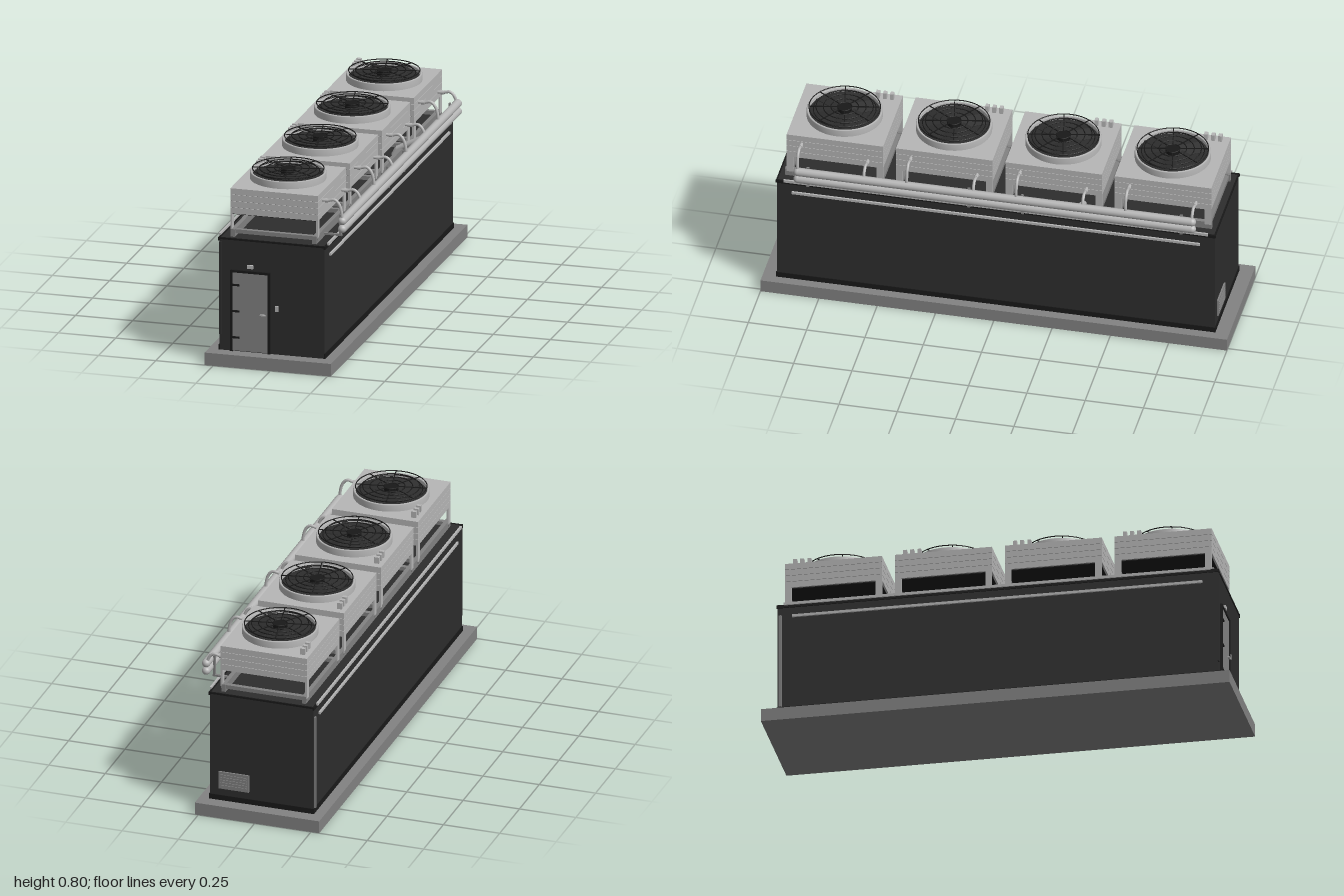
import * as THREE from 'three';

const mat = (name, color, side = THREE.FrontSide) => {
  const m = new THREE.MeshStandardMaterial({ color, side });
  m.name = name;
  return m;
};

export function createModel() {
  const root = new THREE.Group();
  root.name = 'coolingPlant';
  const light = mat('lightMetal', 0xb6b6b6, THREE.DoubleSide);
  const grey = mat('midGrey', 0x828282);
  const dark = mat('darkCladding', 0x2d2d2d);
  const black = mat('blackGrille', 0x191919);

  const add = (parent, name, geo, material, x = 0, y = 0, z = 0) => {
    const m = new THREE.Mesh(geo, material);
    m.name = name;
    m.position.set(x, y, z);
    parent.add(m);
    return m;
  };
  // Box given by its min and max on each axis
  const box = (parent, name, material, x0, x1, y0, y1, z0, z1) =>
    add(parent, name, new THREE.BoxGeometry(x1 - x0, y1 - y0, z1 - z0), material,
      (x0 + x1) / 2, (y0 + y1) / 2, (z0 + z1) / 2);
  const rod = (parent, name, material, points, r, smooth = true) => {
    const v = points.map(p => new THREE.Vector3(...p));
    const path = smooth ? new THREE.CatmullRomCurve3(v, false, 'centripetal') : new THREE.LineCurve3(v[0], v[1]);
    return add(parent, name, new THREE.TubeGeometry(path, smooth ? 20 : 1, r, 12), material);
  };

  // Plinth and cabin
  box(root, 'plinth', grey, -0.287, 0.265, 0, 0.055, -1, 1);
  box(root, 'cabin', dark, -0.24, 0.22, 0.055, 0.547, -0.938, 0.94);
  for (const x of [-0.24, 0.22]) {
    box(root, 'baseTrim', black, x - 0.003, x + 0.003, 0.055, 0.078, -0.941, 0.943);
    box(root, 'roofTrim', black, x - 0.004, x + 0.004, 0.535, 0.549, -0.942, 0.944);
  }
  box(root, 'backBaseTrim', black, -0.24, 0.22, 0.055, 0.078, -0.941, -0.935);
  for (const z of [-0.938, 0.94]) {
    box(root, 'roofEndTrim', black, -0.24, 0.22, 0.541, 0.549, z - 0.003, z + 0.003);
  }

  // Cable rails along both long sides
  for (const [x, s] of [[-0.24, -1], [0.22, 1]]) {
    const a = Math.min(x, x + s * 0.008), b = Math.max(x, x + s * 0.008);
    box(root, 'sideRail', light, a, b, 0.489, 0.5, -0.875, 0.875);
    box(root, 'topRail', light, a + s * 0.002, b + s * 0.002, 0.545, 0.557, -0.91, 0.91);
  }
  box(root, 'downpipe', grey, -0.248, -0.24, 0.08, 0.5, -0.932, -0.92);
  box(root, 'cornerDuct', dark, -0.24, -0.228, 0.125, 0.53, 0.94, 0.946);

  // Door on the front wall
  const door = new THREE.Group();
  door.name = 'door';
  root.add(door);
  box(door, 'frameLeft', black, -0.19, -0.18, 0.055, 0.412, 0.94, 0.95);
  box(door, 'frameRight', black, -0.026, -0.016, 0.055, 0.412, 0.94, 0.95);
  box(door, 'frameTop', black, -0.18, -0.026, 0.402, 0.412, 0.94, 0.95);
  box(door, 'leaf', grey, -0.18, -0.026, 0.059, 0.402, 0.938, 0.946);
  for (const y of [0.117, 0.232, 0.347]) {
    box(door, 'hinge', black, -0.182, -0.15, y - 0.004, y + 0.004, 0.945, 0.951);
  }
  box(door, 'handle', light, -0.06, -0.036, 0.222, 0.227, 0.945, 0.955);
  box(root, 'doorLamp', light, -0.117, -0.091, 0.423, 0.438, 0.94, 0.95);
  box(root, 'switchBox', light, 0.005, 0.019, 0.245, 0.268, 0.94, 0.948);

  // Louvred vent on the back wall
  box(root, 'ventPlate', grey, 0.045, 0.18, 0.11, 0.188, -0.945, -0.937);
  for (let i = 0; i < 5; i++) {
    const y = 0.122 + i * 0.012;
    box(root, 'ventSlat', grey, 0.055, 0.17, y, y + 0.006, -0.948, -0.944);
  }

  // Roof support beams
  for (const x of [-0.189, 0.167]) {
    box(root, 'roofBeam', grey, x - 0.009, x + 0.009, 0.547, 0.58, -0.915, 0.915);
  }

  // One fan cooler, centred on its own x and z
  const shroudProfile = [[0.16, 0], [0.16, 0.028], [0.157, 0.031], [0.152, 0.031], [0.15, 0.028], [0.15, 0]]
    .map(p => new THREE.Vector2(...p));
  const cooler = new THREE.Group();
  cooler.name = 'cooler';
  const W = 0.191, D = 0.207;
  for (let i = 0; i < 4; i++) {
    const y = 0.645 + i * 0.028;
    box(cooler, 'casingPanel', light, -W, W, y + 0.001, y + 0.0275, -D, D);
  }
  box(cooler, 'casingCore', grey, -W + 0.003, W - 0.003, 0.647, 0.755, -D + 0.003, D - 0.003);
  box(cooler, 'underside', black, -W + 0.008, W - 0.008, 0.642, 0.647, -D + 0.008, D - 0.008);
  for (const z of [-1, 1]) {
    const zc = z * (D - 0.014);
    for (const x of [-1, 1]) {
      box(cooler, 'leg', light, x * 0.187 - 0.004, x * 0.187 + 0.004, 0.57, 0.647, zc - 0.014, zc + 0.014);
    }
    box(cooler, 'crossBeam', grey, -W, W, 0.56, 0.577, zc - 0.01, zc + 0.01);
  }
  add(cooler, 'shroud', new THREE.LatheGeometry(shroudProfile, 48), light, 0, 0.757, 0);
  add(cooler, 'fanWell', new THREE.CylinderGeometry(0.151, 0.151, 0.012, 48), dark, 0, 0.766, 0);
  add(cooler, 'hub', new THREE.CylinderGeometry(0.03, 0.03, 0.028, 24), black, 0, 0.786, 0);
  // Fan blades
  for (let i = 0; i < 6; i++) {
    const arm = new THREE.Group();
    arm.name = 'bladeArm';
    arm.rotation.y = i * Math.PI / 3;
    const blade = add(arm, 'blade', new THREE.BoxGeometry(0.11, 0.003, 0.06), dark, 0.082, 0.78, 0);
    blade.rotation.x = 0.25;
    cooler.add(arm);
  }
  // Wire guard
  for (const r of [0.03, 0.058, 0.09, 0.12, 0.15]) {
    const ring = add(cooler, 'guardRing', new THREE.TorusGeometry(r, 0.0022, 6, 40), black, 0, 0.8, 0);
    ring.rotation.x = Math.PI / 2;
  }
  const lower = add(cooler, 'lowerRing', new THREE.TorusGeometry(0.132, 0.002, 6, 40), black, 0, 0.789, 0);
  lower.rotation.x = Math.PI / 2;
  for (let i = 0; i < 8; i++) {
    const a = i * Math.PI / 4 + 0.2;
    const spoke = add(cooler, 'guardSpoke', new THREE.BoxGeometry(0.125, 0.003, 0.004), black,
      Math.cos(a) * 0.089, 0.8, -Math.sin(a) * 0.089);
    spoke.rotation.y = a;
  }
  // Cable glands on the casing top
  for (const z of [-0.168, -0.138, -0.107]) {
    box(cooler, 'gland', light, -0.171, -0.15, 0.757, 0.785, z - 0.008, z + 0.008);
  }
  // Pipe hoops from the casing to the two headers
  const hoop = (z, y, yEnd) => {
    rod(cooler, 'hoopPipe', light, [[0.19, y, z], [0.215, y, z], [0.245, y + 0.005, z],
      [0.264, y - 0.012, z], [0.275, y - 0.045, z], [0.278, yEnd, z]], 0.0065);
    const collar = add(cooler, 'pipeCollar', new THREE.CylinderGeometry(0.009, 0.009, 0.014, 12), light, 0.212, y, z);
    collar.rotation.z = Math.PI / 2;
  };
  hoop(0.142, 0.72, 0.635);
  hoop(-0.142, 0.677, 0.6);

  // Row of four coolers
  for (let i = 0; i < 4; i++) {
    const c = cooler.clone();
    c.position.set(-0.011, 0, 0.7 - i * 0.469);
    root.add(c);
  }

  // Header pipes with rounded ends, and their feeds into the roof
  [[0.635, -0.36], [0.6, -0.41]].forEach(([y, zFeed]) => {
    rod(root, 'headerPipe', light, [[0.267, y, -0.85], [0.267, y, 0.84]], 0.018, false);
    for (const z of [-0.85, 0.84]) add(root, 'headerCap', new THREE.SphereGeometry(0.018, 16, 10), light, 0.267, y, z);
    rod(root, 'feedPipe', light, [[0.267, y, zFeed], [0.15, y - 0.06, zFeed]], 0.013, false);
    rod(root, 'feedDrop', light, [[0.15, y - 0.06, zFeed], [0.135, 0.545, zFeed]], 0.013, false);
  });
  // Header brackets
  for (const z of [-0.8, -0.12, 0.11, 0.8]) {
    box(root, 'headerBracket', grey, 0.17, 0.255, 0.556, 0.564, z - 0.006, z + 0.006);
    box(root, 'bracketPost', grey, 0.243, 0.251, 0.56, 0.65, z - 0.006, z + 0.006);
  }
  return root;
}
